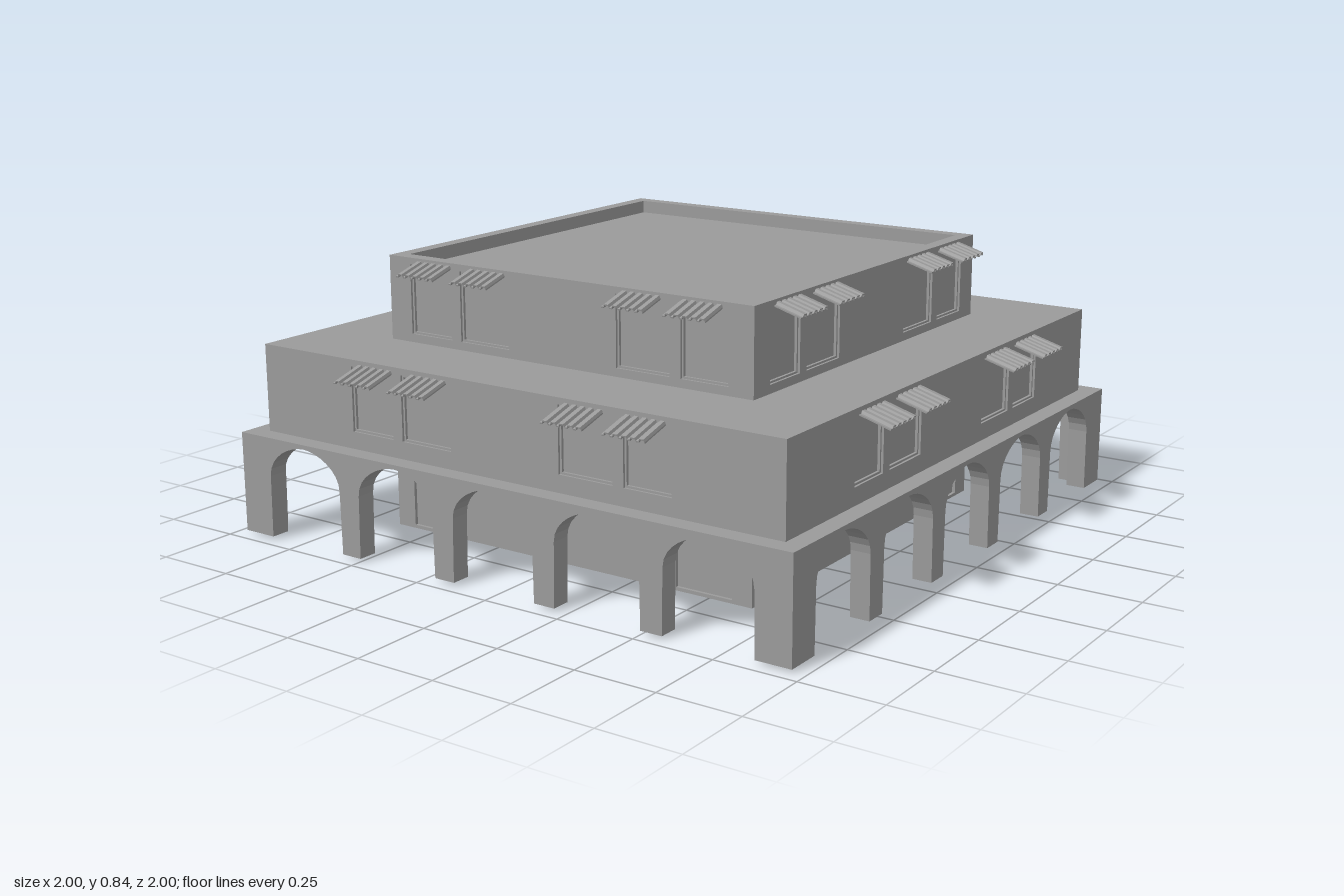
import * as THREE from 'three';

const material = new THREE.MeshStandardMaterial({ color: 0x9a9a9a, flatShading: true });
const shellMaterial = new THREE.MeshStandardMaterial({ color: 0x9a9a9a, flatShading: true, side: THREE.DoubleSide });

function part(name, geometry, parent, mat = material) {
  const mesh = new THREE.Mesh(geometry, mat);
  mesh.name = name;
  parent.add(mesh);
  return mesh;
}

// Square block of half-width r between two heights
function block(name, r, y0, y1, parent) {
  part(name, new THREE.BoxGeometry(2 * r, y1 - y0, 2 * r), parent).position.y = (y0 + y1) / 2;
}

// Extrude a shape inward so that its face lies at z = front
function panel(shape, front, depth) {
  const g = new THREE.ExtrudeGeometry(shape, { depth, bevelEnabled: false, curveSegments: 8 });
  return g.translate(0, 0, front - depth);
}

function rectangle(target, x0, x1, y0, y1) {
  target.moveTo(x0, y0);
  target.lineTo(x1, y0);
  target.lineTo(x1, y1);
  target.lineTo(x0, y1);
  target.closePath();
  return target;
}

// Rectangular border of width w inside the given bounds
function border(x0, x1, y0, y1, w) {
  const s = rectangle(new THREE.Shape(), x0, x1, y0, y1);
  s.holes.push(rectangle(new THREE.Path(), x0 + w, x1 - w, y0 + w, y1 - w));
  return s;
}

// Five open arches between slim, hollow piers
function arcadeGeometry() {
  const r = 0.963, foot = 0.01, spring = 0.2, crown = 0.305, half = 0.143, pitch = 0.355, k = 0.62;
  const s = new THREE.Shape();
  s.moveTo(-r, 0.318);
  s.lineTo(-r, foot);
  for (let i = -2; i <= 2; i++) {
    const c = i * pitch, rise = crown - spring;
    s.lineTo(c - half, foot);
    s.lineTo(c - half + 0.003, spring);
    s.bezierCurveTo(c - half + 0.003, spring + rise * k, c - half * (1 - k), crown, c, crown);
    s.bezierCurveTo(c + half * (1 - k), crown, c + half - 0.003, spring + rise * k, c + half - 0.003, spring);
    s.lineTo(c + half, foot);
  }
  s.lineTo(r, foot);
  s.lineTo(r, 0.318);
  s.closePath();

  // Drop the triangles that would close the feet of the piers
  const solid = panel(s, r, 0.06).getAttribute('position').array;
  const open = [];
  for (let i = 0; i < solid.length; i += 9) {
    const atFoot = [1, 4, 7].every((j) => solid[i + j] < foot + 0.001);
    if (!atFoot) open.push(...solid.slice(i, i + 9));
  }
  const g = new THREE.BufferGeometry();
  g.setAttribute('position', new THREE.Float32BufferAttribute(open, 3));
  g.computeVertexNormals();
  return g;
}

// Openings along one side, as x ranges
const windows = [[-0.56, -0.405], [-0.37, -0.19], [0.19, 0.37], [0.405, 0.56]];
const doors = [[-0.575, -0.39], [0.39, 0.575]];
const awnings = [-0.472, -0.271, 0.271, 0.472];

function wallGeometry(r, y0, y1, openings, sill, head) {
  const s = rectangle(new THREE.Shape(), -r, r, y0, y1);
  for (const [a, b] of openings) s.holes.push(rectangle(new THREE.Path(), a, b, sill, head));
  return panel(s, r, 0.02);
}

// Ribbed awning that slopes down from the wall
function awningGeometry(length) {
  const n = 5, w = 0.138, step = w / n, t = 0.004, h = 0.008;
  const top = [];
  for (let i = 0; i < n; i++) {
    const x = -w / 2 + i * step;
    top.push([x, 0], [x + step * 0.3, 0], [x + step * 0.42, h], [x + step * 0.9, h]);
  }
  top.push([w / 2, 0]);
  const s = new THREE.Shape();
  top.forEach(([x, y], i) => (i ? s.lineTo(x, y) : s.moveTo(x, y)));
  top.reverse().forEach(([x, y]) => s.lineTo(x, y - t));
  s.closePath();
  const g = new THREE.ExtrudeGeometry(s, { depth: length, bevelEnabled: false });
  return g.rotateX(0.28);
}

export function createModel() {
  const model = new THREE.Group();
  model.name = 'building';

  // Solid cores behind the walls; their faces are the door and window panes
  block('groundFloorCore', 0.63, 0, 0.315, model);
  block('arcadeCeiling', 0.96, 0.306, 0.318, model);
  block('middleFloorCore', 0.89, 0.315, 0.585, model);
  block('upperFloorCore', 0.625, 0.58, 0.8, model);

  // Parapet around the sunken roof
  const ring = new THREE.ExtrudeGeometry(border(-0.63, 0.63, -0.63, 0.63, 0.032), { depth: 0.05, bevelEnabled: false });
  part('parapet', ring.rotateX(-Math.PI / 2), model).position.y = 0.79;

  const arcade = arcadeGeometry();
  const groundWall = wallGeometry(0.64, 0, 0.315, doors, 0.01, 0.3);
  const floors = [
    { name: 'middle', r: 0.905, y0: 0.318, y1: 0.585, sill: 0.37, head: 0.565, eave: 0.566, reach: 0.098 },
    { name: 'upper', r: 0.64, y0: 0.58, y1: 0.84, sill: 0.61, head: 0.82, eave: 0.825, reach: 0.088 },
  ];
  for (const f of floors) {
    f.wall = wallGeometry(f.r, f.y0, f.y1, windows, f.sill, f.head);
    f.frames = windows.map(([a, b]) => panel(border(a, b, f.sill, f.head, 0.006), f.r - 0.007, 0.01));
    f.awning = awningGeometry(f.reach);
  }

  // The same facade on all four sides
  for (let i = 0; i < 4; i++) {
    const side = new THREE.Group();
    side.name = 'facade' + (i + 1);
    side.rotation.y = (i * Math.PI) / 2;
    part('arcade', arcade, side, shellMaterial);
    part('groundFloorWall', groundWall, side);
    for (const f of floors) {
      part(f.name + 'FloorWall', f.wall, side);
      for (const frame of f.frames) part(f.name + 'WindowFrame', frame, side);
      for (const x of awnings) part(f.name + 'FloorAwning', f.awning, side).position.set(x, f.eave, f.r - 0.001);
    }
    model.add(side);
  }
  return model;
}
